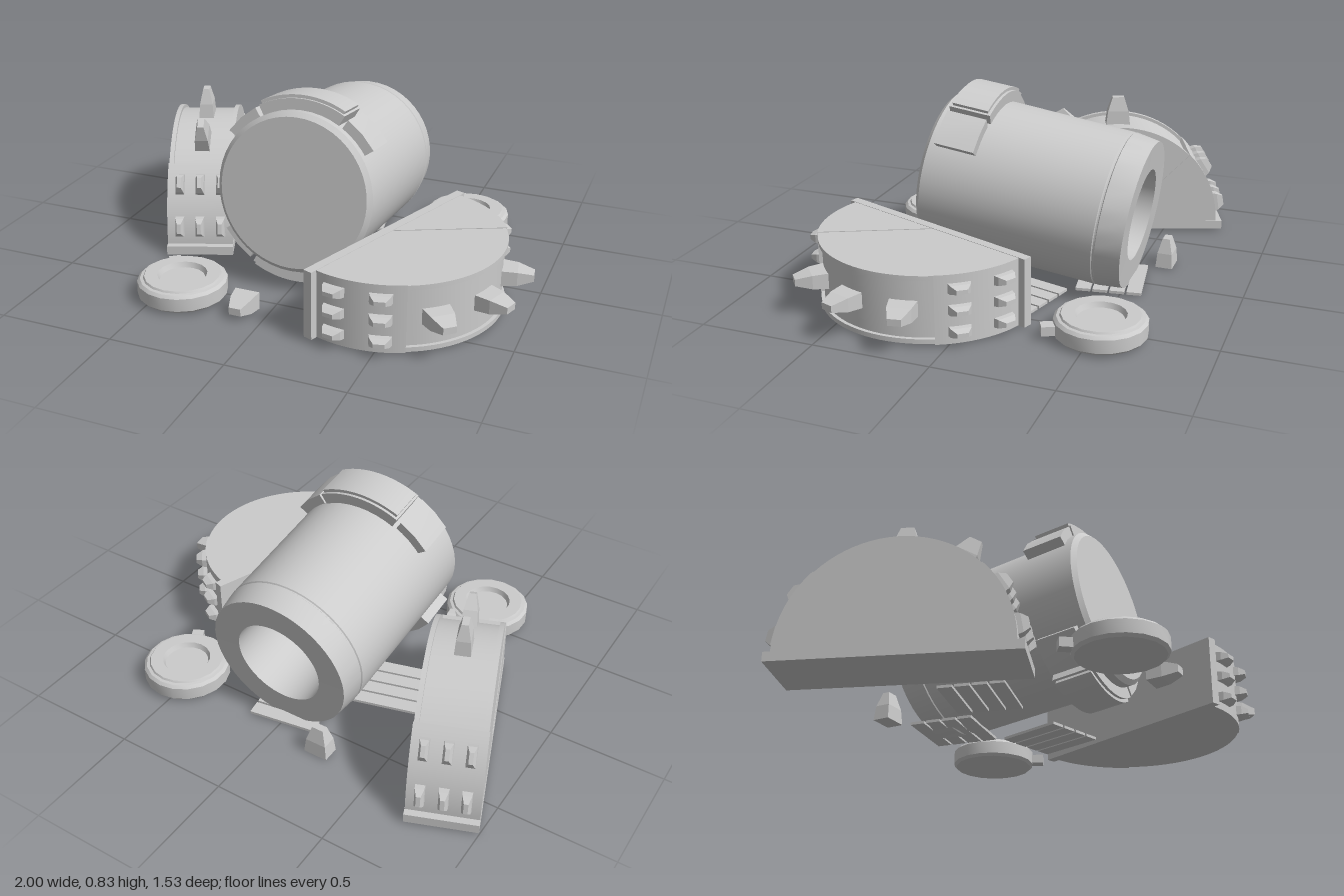
import * as THREE from 'three';
import { toCreasedNormals } from 'three/addons/utils/BufferGeometryUtils.js';

const smooth = new THREE.MeshStandardMaterial({ color: 0xcccccc, side: THREE.DoubleSide });
const flat = new THREE.MeshStandardMaterial({ color: 0xcccccc, flatShading: true });

function add(parent, name, geometry, material = smooth) {
  const mesh = new THREE.Mesh(geometry, material);
  mesh.name = name;
  parent.add(mesh);
  return mesh;
}

function lathe(points, sides) {
  const profile = points.map(([r, y]) => new THREE.Vector2(r, y));
  return toCreasedNormals(new THREE.LatheGeometry(profile, sides), 0.45);
}

// Ring or pie sector in the xy plane (degrees), extruded from z0 to z1
function sector(rIn, rOut, from, to, z0, z1, segments = 10) {
  const a = THREE.MathUtils.degToRad(from), b = THREE.MathUtils.degToRad(to);
  const shape = new THREE.Shape();
  shape.absarc(0, 0, rOut, a, b, false);
  if (rIn > 0) shape.absarc(0, 0, rIn, b, a, true);
  else shape.lineTo(0, 0);
  const g = new THREE.ExtrudeGeometry(shape, { depth: z1 - z0, bevelEnabled: false, curveSegments: segments });
  g.translate(0, 0, z0);
  return toCreasedNormals(g, 0.4);
}

// Blunt spike standing on y = 0: a box pinched towards the tip
function spike(w, d, h) {
  const g = new THREE.BoxGeometry(w, h, d, 1, 2, 1).translate(0, h / 2, 0);
  const p = g.attributes.position;
  for (let i = 0; i < p.count; i++) {
    const t = p.getY(i) / h;
    const k = t > 0.9 ? [0.48, 0.42] : t > 0.3 ? [0.86, 0.87] : [1, 1];
    p.setX(i, p.getX(i) * k[0]);
    p.setZ(i, p.getZ(i) * k[1]);
  }
  return g;
}

// Half-round spiked housing: chord along x, dome up y, width along z
function housing(bigSpikes) {
  const group = new THREE.Group();
  const hub = new THREE.Group();
  hub.position.y = 0.04;
  group.add(hub);
  add(group, 'baseBoard', new THREE.BoxGeometry(1.01, 0.04, 0.297).translate(0, 0.02, 0), flat);
  add(hub, 'middleSector', sector(0, 0.457, 45, 135, -0.125, 0.125));
  for (const s of [-1, 1]) {
    add(hub, 'middleCheek', sector(0, 0.472, 45, 135, s * 0.134 - 0.01, s * 0.134 + 0.01));
    add(hub, 'endSector', sector(0, 0.475, s > 0 ? 0 : 135, s > 0 ? 45 : 180, -0.147, 0.147));
  }
  const radial = (name, geometry, degrees, radius, z) => {
    const a = THREE.MathUtils.degToRad(degrees);
    const m = add(hub, name, geometry, flat);
    m.position.set(Math.sin(a) * radius, Math.cos(a) * radius, z);
    m.rotation.z = -a;
  };
  for (const a of [-80, -57, 57, 80])
    for (const z of [-0.093, 0, 0.09]) radial('smallSpike', spike(0.095, 0.042, 0.055), a, 0.467, z);
  for (const a of bigSpikes) radial('largeSpike', spike(0.115, 0.068, 0.135), a, 0.45, 0);
  return group;
}

// Round cap with a dished middle and a side tab
function cap(x, z, tabAngle) {
  const group = new THREE.Group();
  group.name = 'wheelCap';
  add(group, 'capBody', lathe([[0, 0], [0.178, 0], [0.19, 0.012], [0.19, 0.068], [0.178, 0.08],
    [0.165, 0.082], [0.16, 0.09], [0.105, 0.09], [0.095, 0.068], [0, 0.068]], 18));
  const tab = add(group, 'capTab', new THREE.BoxGeometry(0.08, 0.04, 0.052), flat);
  tab.position.set(Math.cos(tabAngle) * 0.2, 0.034, Math.sin(tabAngle) * 0.2);
  tab.rotation.y = -tabAngle;
  group.position.set(x, 0.01, z);
  return group;
}

// Square of loose slats, long side along local x
function slatPanel(x, z, turn) {
  const group = new THREE.Group();
  group.name = 'slatPanel';
  for (let i = 0; i < 4; i++)
    add(group, 'slat', new THREE.BoxGeometry(0.3, 0.012, 0.063).translate(0, 0, (i - 1.5) * 0.073), flat);
  group.position.set(x, 0.014, z);
  group.rotation.y = turn;
  return group;
}

export function createModel() {
  const model = new THREE.Group();
  model.name = 'brokenMachine';

  // Barrel: closed front, hollow back, resting at a tilt
  const barrel = new THREE.Group();
  barrel.name = 'barrel';
  barrel.position.set(0.01, 0.383, -0.1);
  barrel.rotation.x = Math.PI / 2 - 0.133;
  add(barrel, 'barrelShell', lathe([[0, 0.12], [0.12, 0.09], [0.185, 0], [0.2, -0.454], [0.322, -0.456],
    [0.337, -0.35], [0.332, -0.346], [0.332, -0.34], [0.337, -0.336], [0.345, 0.435], [0.325, 0.454], [0, 0.454]], 48));

  // Raised lugs around the front of the barrel, above and below
  for (const base of [90, 270]) {
    add(barrel, 'bandLug', sector(0.32, 0.392, base - 29, base + 29, 0.215, 0.4).rotateX(-Math.PI / 2));
    add(barrel, 'bandLugCrown', sector(0.32, 0.406, base - 27.5, base + 27.5, 0.227, 0.388).rotateX(-Math.PI / 2));
    for (const s of [-1, 1]) {
      const mid = base + s * 44;
      add(barrel, 'sideClasp', sector(0.32, 0.388, mid - 12, mid + 12, 0.222, 0.4, 1).rotateX(-Math.PI / 2));
    }
  }
  model.add(barrel);

  // Housing lying on its side, and one standing on its base
  const lying = housing([-30, 0, 30]);
  lying.name = 'lyingHousing';
  const c = Math.cos(0.349), s = Math.sin(0.349);
  lying.quaternion.setFromRotationMatrix(new THREE.Matrix4().makeBasis(
    new THREE.Vector3(-s, 0, c), new THREE.Vector3(c, 0, s), new THREE.Vector3(0, 1, 0)));
  lying.position.set(0.379, 0.157, 0.232);
  model.add(lying);

  const standing = housing([0, 29]);
  standing.name = 'standingHousing';
  standing.position.set(-0.68, 0.01, -0.242);
  standing.rotation.y = -1.205;
  model.add(standing);

  // Caps, slats and broken-off spikes on the ground
  model.add(cap(0.535, -0.53, 1.11), cap(-0.405, 0.565, -2.21));
  model.add(slatPanel(0.3, -0.1, 1.3), slatPanel(-0.28, -0.12, 0.26), slatPanel(0.015, -0.43, 0.15));
  const fallen = add(model, 'looseSpike', spike(0.108, 0.075, 0.125), flat);
  fallen.position.set(-0.105, 0.042, 0.562);
  fallen.rotation.x = Math.PI / 2;
  const upright = add(model, 'looseSpike', spike(0.108, 0.075, 0.13), flat);
  upright.position.set(-0.232, 0.005, -0.612);
  return model;
}
